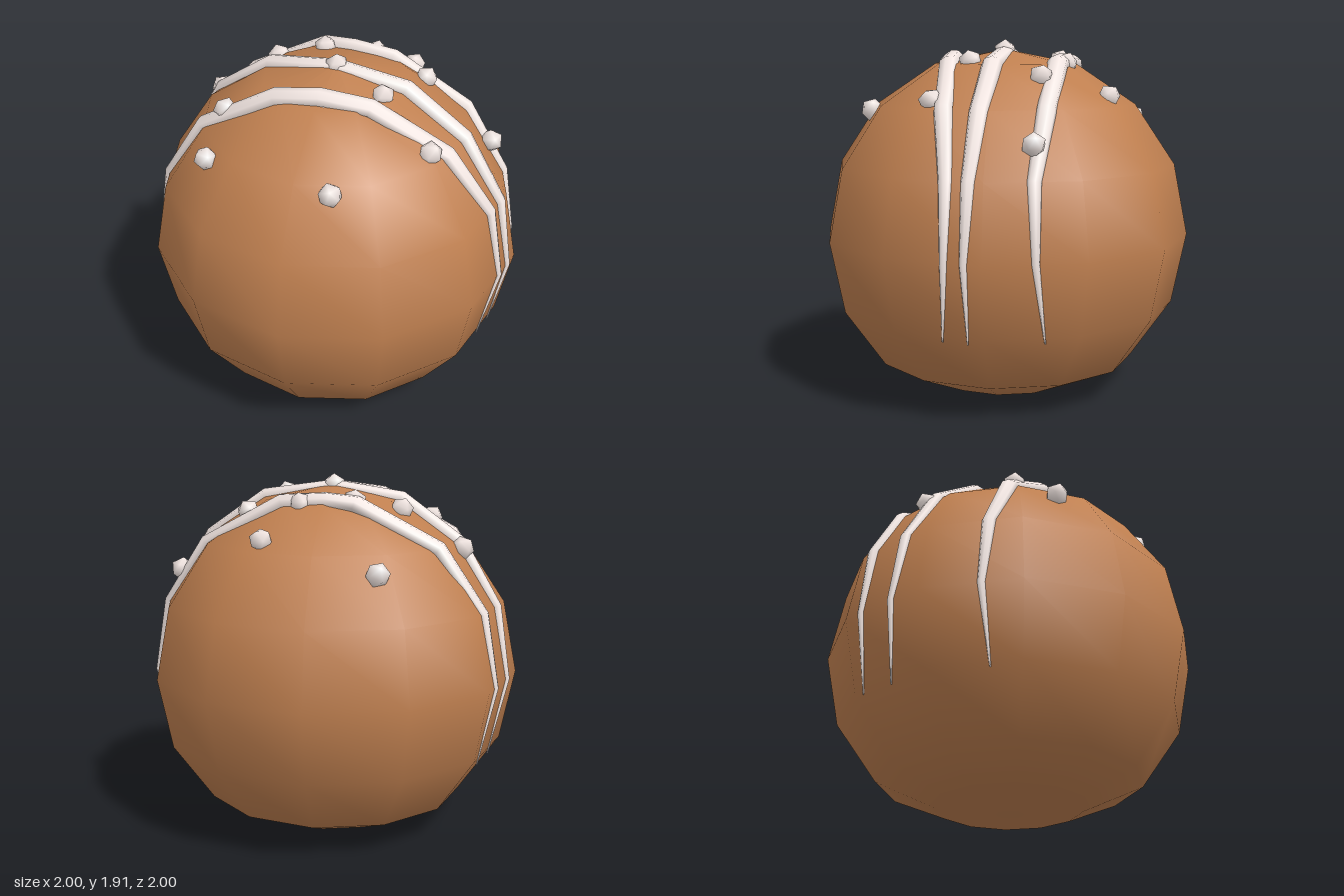
import * as THREE from 'three';
import { mergeVertices } from 'three/addons/utils/BufferGeometryUtils.js';

const CENTER = new THREE.Vector3(0, 0.86, 0);

// x of a twelve-sided ring of radius r at depth z
function ringX(r, z) {
  const d = Math.abs(z);
  return d < r / 2 ? r - d * 0.268 : r * 0.866 - (d - r / 2);
}

// Flattened, tapering icing stripe laid over the ball through the given depths
function icingGeometry(depths, topY) {
  const rings = [[0.92, 0.45, 0.004], [1, 0.86, 0.02], [0.924, 1.24, 0.036],
    [0.707, 1.567, 0.05], [0.383, 1.784, 0.055]];
  const path = [], radii = [];
  depths.forEach((z, i) => {
    if (i === 5) {
      path.push(new THREE.Vector3(0, topY, z));
      radii.push(0.057);
      return;
    }
    const [r, y, w] = rings[i < 5 ? i : 10 - i];
    path.push(new THREE.Vector3((i < 5 ? -1 : 1) * ringX(r, z), y, z));
    radii.push(w);
  });
  const sides = 8, pos = [], index = [];
  path.forEach((p, i) => {
    const t = path[Math.min(i + 1, 10)].clone().sub(path[Math.max(i - 1, 0)]).normalize();
    const n = p.clone().sub(CENTER);
    n.addScaledVector(t, -n.dot(t)).normalize();
    const u = t.clone().cross(n);
    for (let j = 0; j < sides; j++) {
      const a = (j / sides) * Math.PI * 2;
      const v = p.clone()
        .addScaledVector(u, radii[i] * Math.cos(a))
        .addScaledVector(n, radii[i] * 0.8 * Math.sin(a));
      pos.push(v.x, v.y, v.z);
      if (i < 10) {
        const k = (j + 1) % sides;
        const A = i * sides + j, B = i * sides + k;
        index.push(A, A + sides, B, B, A + sides, B + sides);
      }
    }
  });
  const g = new THREE.BufferGeometry();
  g.setAttribute('position', new THREE.Float32BufferAttribute(pos, 3));
  g.setIndex(index);
  g.computeVertexNormals();
  return g;
}

// Small smooth icosahedron with one corner pointing along +y
function crumbGeometry(radius) {
  let g = new THREE.IcosahedronGeometry(radius, 0);
  g.deleteAttribute('uv');
  g.deleteAttribute('normal');
  g = mergeVertices(g);
  const corner = new THREE.Vector3().fromBufferAttribute(g.attributes.position, 0).normalize();
  g.applyQuaternion(new THREE.Quaternion().setFromUnitVectors(corner, new THREE.Vector3(0, 1, 0)));
  g.computeVertexNormals();
  return g;
}

export function createModel() {
  const group = new THREE.Group();
  const dough = new THREE.MeshStandardMaterial({ color: 0xc08050 });
  const icing = new THREE.MeshStandardMaterial({ color: 0xf2e6e2 });
  const add = (name, geometry, material) => {
    const mesh = new THREE.Mesh(geometry, material);
    mesh.name = name;
    group.add(mesh);
    return mesh;
  };

  // Ball with a slightly flattened underside
  const profile = [[0, 0], [0.383, 0.03], [0.707, 0.17], [0.924, 0.48], [1, 0.86],
    [0.924, 1.243], [0.707, 1.567], [0.383, 1.784], [0, 1.86]];
  add('ball', new THREE.LatheGeometry(profile.map(([x, y]) => new THREE.Vector2(x, y)), 12), dough);

  // Three icing stripes, depths listed from the right tip over the top to the left tip
  const stripes = [
    ['frontStripe', [0.31, 0.30, 0.30, 0.30, 0.295, 0.285, 0.27, 0.235, 0.19, 0.19, 0.21], 1.81],
    ['middleStripe', [-0.21, -0.18, -0.15, -0.10, -0.05, 0, 0.025, 0.05, 0.075, 0.09, 0.08], 1.835],
    ['backStripe', [-0.40, -0.39, -0.385, -0.375, -0.36, -0.33, -0.30, -0.275, -0.235, -0.25, -0.29], 1.795],
  ];
  for (const [name, depths, topY] of stripes) add(name, icingGeometry(depths, topY), icing);

  // Sugar crumbs scattered on the upper half, pointing outward
  const crumb = crumbGeometry(0.063);
  const spots = [[-0.32, -0.70], [0.28, -0.57], [0.12, -0.34], [-0.15, -0.29], [-0.385, -0.21],
    [0.42, -0.23], [0.79, -0.225], [-0.70, -0.145], [0, 0], [0.285, 0.15], [-0.51, 0.28],
    [0.57, 0.31], [-0.525, 0.53], [0.18, 0.70], [0.035, 0.295]];
  spots.forEach(([x, z], i) => {
    const reach = i === 14 ? 0.95 : 0.99;
    const y = Math.sqrt(reach * reach - x * x - z * z);
    const mesh = add('crumb' + (i + 1), crumb, icing);
    mesh.position.set(x, y + 0.86, z);
    mesh.quaternion.setFromUnitVectors(new THREE.Vector3(0, 1, 0), new THREE.Vector3(x, y, z).normalize());
  });
  return group;
}
